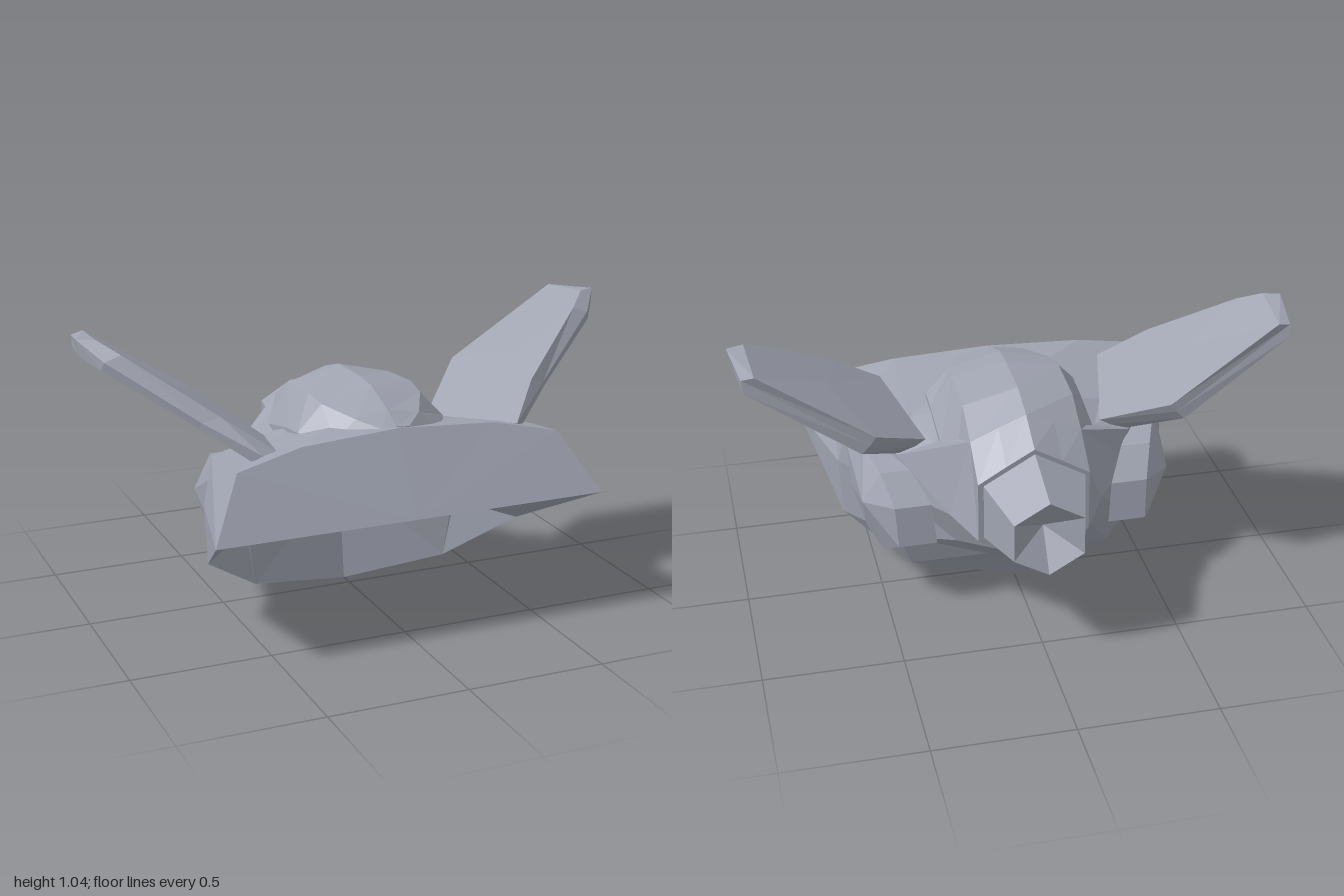
import * as THREE from 'three';

const hullGrey = new THREE.MeshStandardMaterial({ color: 0xa0a4b1, side: THREE.DoubleSide });
hullGrey.name = 'hull grey';

// Faceted mesh from a list of triangles; zero-area ones are dropped
function facets(name, tris) {
  const pos = [];
  const area = t => {
    const [a, b, c] = t.map(p => new THREE.Vector3(...p));
    return b.sub(a).cross(c.sub(a)).length();
  };
  tris.filter(t => area(t) > 1e-7).forEach(t => pos.push(...t.flat()));
  const geo = new THREE.BufferGeometry();
  geo.setAttribute('position', new THREE.Float32BufferAttribute(pos, 3));
  geo.computeVertexNormals();
  const mesh = new THREE.Mesh(geo, hullGrey);
  mesh.name = name;
  return mesh;
}

const flip = p => [-p[0], p[1], p[2]];
const mirror = tris => tris.map(([a, b, c]) => [flip(a), flip(c), flip(b)]);
// Half outline from top to bottom, completed on the other side
const wholeRing = half => [...half, ...half.slice(1, -1).reverse().map(flip)];

// Skin between successive rings
function loft(rings) {
  const tris = [];
  for (let k = 0; k + 1 < rings.length; k++) {
    const r = rings[k], q = rings[k + 1], n = r.length;
    for (let i = 0; i < n; i++) {
      const j = (i + 1) % n;
      tris.push([r[i], r[j], q[j]], [r[i], q[j], q[i]]);
    }
  }
  return tris;
}

// Fan that closes a ring, either at the first end or at the last
function cap(ring, centre, first) {
  return ring.map((p, i) => {
    const q = ring[(i + 1) % ring.length];
    return first ? [centre, q, p] : [centre, p, q];
  });
}
const middle = ring => [0, 1, 2].map(k => ring.reduce((s, p) => s + p[k], 0) / ring.length);

export function createModel() {
  const model = new THREE.Group();
  model.name = 'spacecraft';

  // Hull: slanted nose rim, wide middle, narrowing to a hexagonal stern
  const R = [0, 0.73, 0.43], Q = [0.36, 0.71, 0.44], P = [0.6, 0.66, 0.47], K = [0.72, 0.45, 0.59];
  const L = [0.61, 0.23, 0.17], M = [0.38, 0.06, 0.02], N = [0, 0, -0.05];
  const stern = wholeRing([[0, 0.717, -0.36], [0.1, 0.66, -0.36], [0.2, 0.6, -0.36], [0.2, 0.37, -0.36],
    [0.13, 0.328, -0.36], [0.06, 0.286, -0.36], [0, 0.25, -0.36]]);
  const hull = loft([
    wholeRing([R, Q, P, K, L, M, N]),
    wholeRing([[0, 0.72, 0.1], [0.36, 0.635, 0.1], [0.58, 0.62, 0.15], [0.62, 0.45, 0.17], L, M, N]),
    wholeRing([[0, 0.73, -0.06], [0.3, 0.61, -0.05], [0.43, 0.57, -0.04], [0.45, 0.43, -0.04],
      [0.44, 0.22, -0.03], M, N]),
    wholeRing([[0, 0.785, -0.23], [0.1, 0.745, -0.23], [0.2, 0.7, -0.23], [0.28, 0.42, -0.24],
      [0.25, 0.28, -0.2], [0.13, 0.2, -0.19], [0, 0.17, -0.19]]),
    stern,
  ]);
  model.add(facets('hull', [...hull, ...cap(stern, [0, 0.485, -0.36], false)]));

  // Slanted nose plate
  const F = [0, 0.45, 0.59];
  const plate = [[F, K, P], [F, P, Q], [F, Q, R]];
  model.add(facets('nosePlate', [...plate, ...mirror(plate)]));

  // Hollow underside behind the nose
  const A = [0, 0.41, -0.1], B = [0.43, 0.43, 0.04], C = [0.42, 0.28, 0.03];
  const scoop = [[F, A, B], [F, B, K], [A, N, M], [A, M, B], [B, M, C], [B, C, K], [C, L, K], [C, M, L]];
  model.add(facets('undersideScoop', [...scoop, ...mirror(scoop)]));

  // Domed canopy: z, then half outline as x, y pairs
  const canopy = [
    [0.41, [[0, 0.73], [0.05, 0.725], [0.08, 0.7], [0.08, 0.56], [0, 0.56]]],
    [0.34, [[0, 0.77], [0.12, 0.75], [0.2, 0.68], [0.2, 0.55], [0, 0.55]]],
    [0.2, [[0, 0.82], [0.19, 0.775], [0.28, 0.68], [0.28, 0.54], [0, 0.54]]],
    [0.1, [[0, 0.83], [0.2, 0.79], [0.28, 0.67], [0.28, 0.54], [0, 0.54]]],
    [-0.1, [[0, 0.825], [0.2, 0.775], [0.28, 0.63], [0.28, 0.5], [0, 0.5]]],
    [-0.23, [[0, 0.785], [0.2, 0.7], [0.275, 0.44], [0.27, 0.43], [0, 0.43]]],
  ].map(([z, half]) => wholeRing(half.map(([x, y]) => [x, y, z])));
  model.add(facets('canopy', [...loft(canopy), ...cap(canopy[0], middle(canopy[0]), true)]));

  // Hexagonal tail engine with a hollow end
  const hexRing = (r, z) => Array.from({ length: 6 }, (_, i) =>
    [r * Math.sin(i * Math.PI / 3), 0.493 + r * Math.cos(i * Math.PI / 3), z]);
  const engine = [hexRing(0.21, -0.367), hexRing(0.143, -0.59)];
  model.add(facets('tailEngine', [
    ...loft(engine), ...cap(engine[0], [0, 0.493, -0.367], true), ...cap(engine[1], [0, 0.493, -0.49], false),
  ]));

  // Wing: upper, edge and lower outlines
  const upper = [[0.32, 0.61, -0.02], [0.42, 0.68, 0.36], [0.59, 0.8, 0.29], [0.87, 0.995, 0.09],
    [0.94, 1.04, 0.02], [0.925, 1.02, -0.2], [0.53, 0.76, -0.23]].reverse();
  const edge = [[0.35, 0.59, -0.025], [0.48, 0.68, 0.395], [0.65, 0.78, 0.27], [0.93, 0.975, 0.09],
    [1, 1.04, 0], [0.97, 1.01, -0.19], [0.55, 0.73, -0.23]].reverse();
  const lower = [[0.42, 0.57, -0.03], [0.51, 0.655, 0.37], [0.66, 0.76, 0.26], [0.94, 0.945, 0.08],
    [0.99, 0.98, 0.01], [0.965, 0.965, -0.2], [0.58, 0.7, -0.23]].reverse();
  const wing = [...loft([upper, edge, lower]),
    ...cap(upper, middle(upper), true), ...cap(lower, middle(lower), false)];
  model.add(facets('leftWing', wing), facets('rightWing', mirror(wing)));

  // Side pod: eight-sided tilted disc, outline as z, y pairs
  const outline = [[0.02, 0.585], [-0.09, 0.53], [-0.18, 0.43], [-0.2, 0.28],
    [-0.09, 0.21], [0.02, 0.25], [0.12, 0.37], [0.14, 0.53]];
  const rim = outline.map(([z, y]) => [0.535 + 0.38 * z, y, z]);
  const root = outline.map(([z, y]) => [0.45 + 0.65 * z, y, z]);
  const pod = [...loft([rim, root]), ...cap(rim, [0.57, 0.42, -0.09], true)];
  model.add(facets('leftPod', pod), facets('rightPod', mirror(pod)));

  return model;
}
